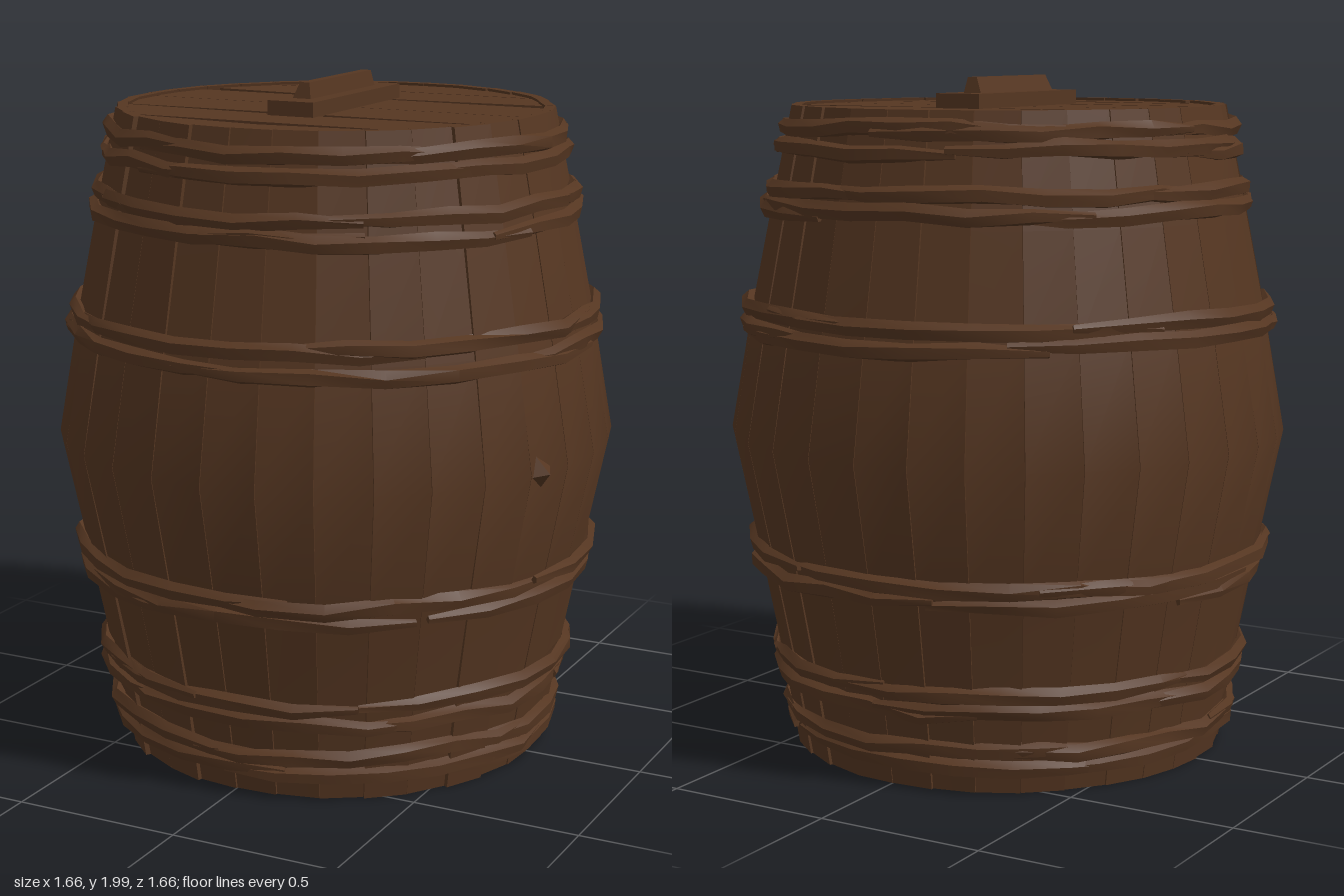
import * as THREE from 'three';
import { toCreasedNormals } from 'three/addons/utils/BufferGeometryUtils.js';

const STAVES = 32;
const ROW_Y = [0.01, 0.3, 0.6, 0.96, 1.3, 1.6, 1.92];
const ROW_R = [0.64, 0.69, 0.75, 0.825, 0.765, 0.705, 0.638];

// Outer barrel radius at a height
function radiusAt(y) {
  let i = 0;
  while (i < ROW_Y.length - 2 && y > ROW_Y[i + 1]) i++;
  return THREE.MathUtils.mapLinear(y, ROW_Y[i], ROW_Y[i + 1], ROW_R[i], ROW_R[i + 1]);
}

function seeded(seed) {
  return () => {
    seed = (seed * 16807) % 2147483647;
    return seed / 2147483647;
  };
}

// One bowed board, facing +z before it is turned into place
function staveGeometry(rand) {
  const rows = ROW_Y.length - 1;
  const geo = new THREE.BoxGeometry(1, 1, 1, 1, rows, 1);
  const p = geo.attributes.position;
  const offset = (rand() - 0.5) * 0.012;
  const lean = (rand() - 0.5) * 0.012;
  for (let i = 0; i < p.count; i++) {
    const row = Math.round((p.getY(i) + 0.5) * rows);
    const end = Math.abs(row / rows - 0.5) * 2;
    const r = ROW_R[row] + offset * end + lean * end * p.getX(i) * 2;
    const inner = p.getZ(i) < 0 ? 0.03 : 0;
    const half = (r - inner) * Math.tan(Math.PI / STAVES) * 0.99;
    p.setXYZ(i, p.getX(i) * 2 * half, ROW_Y[row], r - inner);
  }
  return toCreasedNormals(geo, 0.7);
}

// A tapered, crooked strip of wood wrapped part way round the barrel
function twigGeometry(y0, start, sweep, rand) {
  const sides = 5;
  const stations = Math.max(6, Math.round(sweep / 0.24));
  const pos = [];
  const idx = [];
  const tilt = (rand() - 0.5) * 0.03;
  for (let s = 0; s <= stations + 2; s++) {
    const t = THREE.MathUtils.clamp((s - 1) / stations, 0, 1);
    const closed = s === 0 || s === stations + 2;
    const size = closed ? 0 : 0.45 + 0.55 * Math.min(1, 5 * Math.min(t, 1 - t));
    const a = start + sweep * t;
    const y = y0 + tilt * (t - 0.5) + (closed ? 0 : (rand() - 0.5) * 0.016);
    const r = radiusAt(y0) + 0.012 + (rand() - 0.4) * 0.018;
    const twist = rand() * 0.7;
    for (let k = 0; k < sides; k++) {
      const b = (k / sides) * Math.PI * 2 + twist;
      const rr = r + Math.cos(b) * 0.022 * size;
      pos.push(Math.sin(a) * rr, y + Math.sin(b) * 0.027 * size, Math.cos(a) * rr);
      if (s < stations + 2) {
        const n = (k + 1) % sides;
        const i = s * sides;
        idx.push(i + k, i + sides + k, i + n, i + n, i + sides + k, i + sides + n);
      }
    }
  }
  const geo = new THREE.BufferGeometry();
  geo.setAttribute('position', new THREE.Float32BufferAttribute(pos, 3));
  geo.setIndex(idx);
  return toCreasedNormals(geo, 0.6);
}

// Board clipped to a disc; edges are [z at the rim, z at the middle]
function plankGeometry(R, lo, hi, thickness) {
  const pts = [];
  const a0 = Math.asin(lo[0] / R);
  const a1 = Math.asin(hi[0] / R);
  for (let i = 0; i <= 4; i++) {
    const a = a0 + ((a1 - a0) * i) / 4;
    pts.push(new THREE.Vector2(Math.cos(a) * R, Math.sin(a) * R));
  }
  pts.push(new THREE.Vector2(0, hi[1]));
  for (let i = 4; i >= 0; i--) pts.push(new THREE.Vector2(-pts[i].x, pts[i].y));
  pts.push(new THREE.Vector2(0, lo[1]));
  const geo = new THREE.ExtrudeGeometry(new THREE.Shape(pts), { depth: thickness, bevelEnabled: false });
  return geo.rotateX(Math.PI / 2); // shape y becomes z, depth runs down
}

export function createModel() {
  const model = new THREE.Group();
  const wood = new THREE.MeshStandardMaterial({ color: 0x553621 });
  wood.name = 'dark brown wood';
  const rand = seeded(4271);
  const add = (name, geo, parent = model) => {
    const mesh = new THREE.Mesh(geo, wood);
    mesh.name = name;
    parent.add(mesh);
    return mesh;
  };
  const group = (name) => {
    const g = new THREE.Group();
    g.name = name;
    model.add(g);
    return g;
  };

  // Barrel wall
  const wall = group('staves');
  for (let i = 0; i < STAVES; i++) {
    add('stave', staveGeometry(rand), wall).rotation.y = ((i + 0.5) / STAVES) * Math.PI * 2;
  }

  // Paired hoops of overlapping strips
  const hoops = group('hoops');
  for (const y of [0.08, 0.135, 0.245, 0.3, 0.565, 0.62, 1.28, 1.34, 1.635, 1.685, 1.805, 1.86]) {
    const count = 5;
    const first = rand() * Math.PI * 2;
    for (let i = 0; i < count; i++) {
      const start = first + ((i + rand() * 0.3) / count) * Math.PI * 2;
      add('hoopStrip', twigGeometry(y + (rand() - 0.5) * 0.02, start, 1.4 + rand() * 0.5, rand), hoops);
    }
  }

  // Lid and base boards, with bowed gaps between them
  const planks = [
    [[-0.61, -0.615], [-0.44, -0.44]],
    [[-0.433, -0.433], [-0.275, -0.235]],
    [[-0.22, -0.22], [-0.002, -0.002]],
    [[0.002, 0.002], [0.215, 0.21]],
    [[0.225, 0.25], [0.43, 0.43]],
    [[0.437, 0.482], [0.6, 0.6]],
  ];
  for (const [name, top] of [['lid', 1.912], ['base', 0.05]]) {
    const boards = group(name);
    for (const [lo, hi] of planks) {
      add(name + 'Plank', plankGeometry(0.62, lo, hi, 0.04), boards).position.y = top;
    }
  }

  // Lid handle: flat cleat with a tapered grip
  const handle = group('handle');
  add('cleat', new THREE.BoxGeometry(0.145, 0.045, 0.57), handle).position.set(-0.003, 1.932, -0.003);
  const grip = new THREE.BoxGeometry(0.06, 0.05, 0.42);
  const gp = grip.attributes.position;
  for (let i = 0; i < gp.count; i++) {
    if (gp.getY(i) > 0) gp.setXYZ(i, gp.getX(i) * 0.5 + 0.006, gp.getY(i), gp.getZ(i) * 0.95);
  }
  grip.computeVertexNormals();
  add('grip', grip, handle).position.set(-0.008, 1.975, -0.005);

  // Small pointed plug on the left side
  const plug = group('plug');
  const cone = new THREE.ConeGeometry(0.066, 0.06, 4).toNonIndexed();
  cone.computeVertexNormals();
  cone.rotateX(Math.PI / 2);
  add('plugPeg', cone, plug).rotation.z = 0.25;
  plug.position.set(0.782, 0.965, 0.28);
  plug.rotation.y = Math.atan2(0.782, 0.28);

  return model;
}
